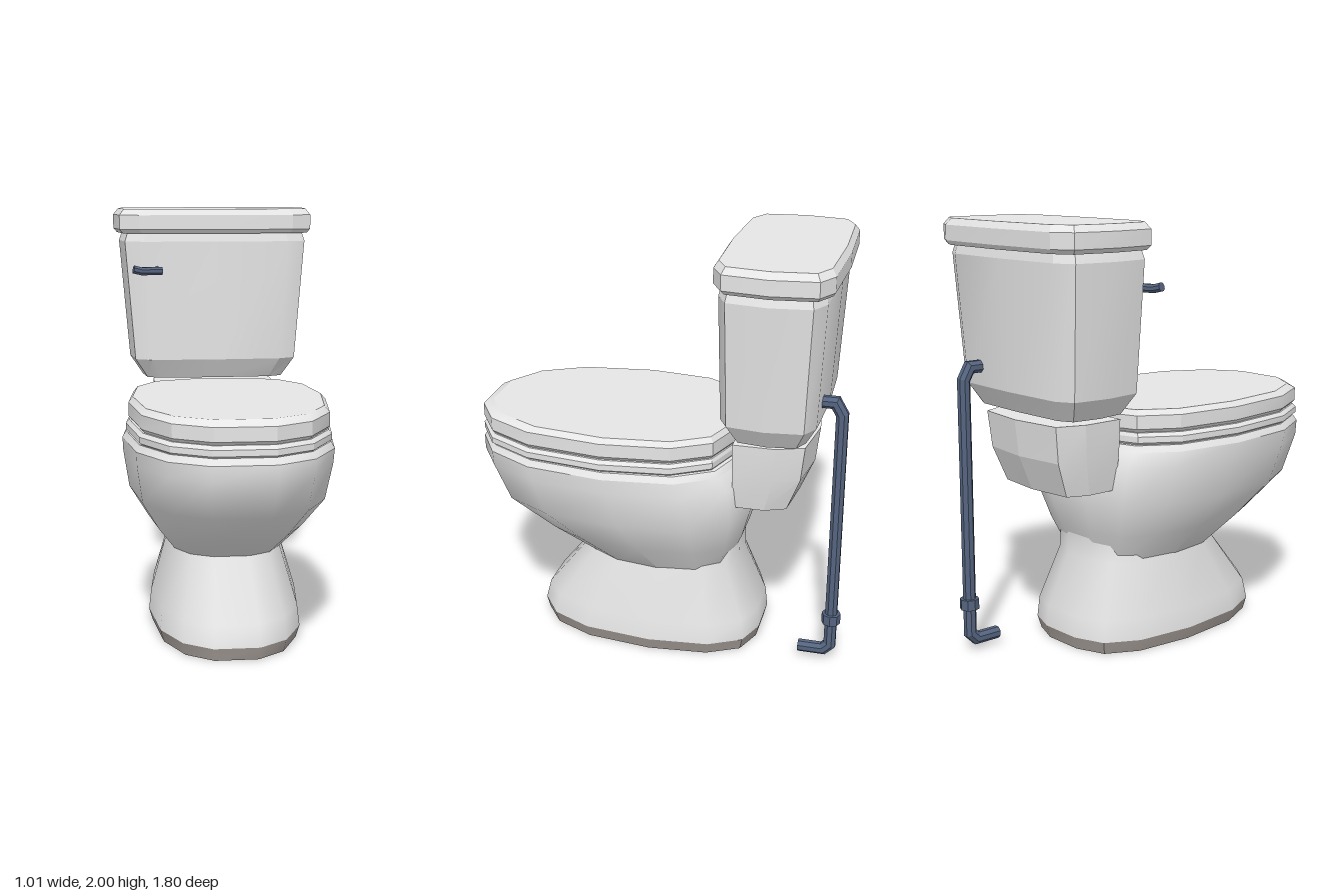
import * as THREE from 'three';
import { toCreasedNormals } from 'three/addons/utils/BufferGeometryUtils.js';

// Half outlines (x, z) from front to back, in a -1..1 box
const EGG = [[0.29, 1], [0.65, 0.83], [0.9, 0.48], [1, -0.1], [0.92, -0.62], [0.69, -0.9], [0.29, -1]];
const TANK = [[0, 1], [0.76, 0.95], [0.95, 0.76], [1, 0], [0.95, -0.76], [0.76, -0.95], [0, -1]];
const BRACKET = [[0.75, 1], [1, 1], [1, -0.1], [0.84, -0.82], [0, -1]];

const mirror = (half) => [...half, ...half.filter((p) => p[0] !== 0).reverse().map(([x, z]) => [-x, z])];

// Skin a stack of rings of Vector3; caps names the ends to close
function skin(rings, crease, caps) {
  const pos = [];
  const tri = (...pts) => pts.forEach((p) => pos.push(p.x, p.y, p.z));
  const n = rings[0].length;
  const centre = (ring) => ring.reduce((s, p) => s.add(p), new THREE.Vector3()).divideScalar(n);
  const first = rings[0], last = rings[rings.length - 1];
  const c0 = centre(first), c1 = centre(last);
  for (let j = 0; j < n; j++) {
    const k = (j + 1) % n;
    for (let i = 0; i < rings.length - 1; i++) {
      const a = rings[i], b = rings[i + 1];
      tri(a[j], a[k], b[k]);
      tri(a[j], b[k], b[j]);
    }
    if (caps.includes('start')) tri(c0, first[k], first[j]);
    if (caps.includes('end')) tri(c1, last[j], last[k]);
  }
  const g = new THREE.BufferGeometry();
  g.setAttribute('position', new THREE.Float32BufferAttribute(pos, 3));
  return toCreasedNormals(g, crease);
}

// Levels run upward: [y, half width, front z, back z]
function loft(half, levels, crease, caps = 'start end') {
  const outline = mirror(half);
  return skin(levels.map(([y, w, f, b]) =>
    outline.map(([x, z]) => new THREE.Vector3(x * w, y, (f + b) / 2 + z * (f - b) / 2))), crease, caps);
}

// Round bar with mitred corners; side is a direction across the path
function bar(points, radius, side) {
  const path = points.map((p) => new THREE.Vector3(...p));
  const ref = new THREE.Vector3(...side);
  const rings = path.map((p, i) => {
    const d0 = p.clone().sub(path[Math.max(i - 1, 0)]).normalize();
    const d1 = path[Math.min(i + 1, path.length - 1)].clone().sub(p).normalize();
    const t = d0.clone().add(d1).normalize();
    const v = t.clone().cross(ref).normalize();
    const u = v.clone().cross(t);
    const stretch = 1 / Math.max(t.dot(d1), t.dot(d0), 0.5);
    return Array.from({ length: 8 }, (_, k) => {
      const a = (k + 0.5) * Math.PI / 4;
      return p.clone().addScaledVector(u, Math.cos(a) * radius)
        .addScaledVector(v, Math.sin(a) * radius * stretch);
    });
  });
  return skin(rings, 0.3, 'start end');
}

export function createModel() {
  const group = new THREE.Group();
  const paint = (name, color) => {
    const m = new THREE.MeshStandardMaterial({ color });
    m.name = name;
    return m;
  };
  const porcelain = paint('porcelain', 0xe6e6e6);
  const baseGrey = paint('baseGrey', 0xa69e99);
  const metal = paint('blueMetal', 0x55647f);
  const add = (name, geometry, material) => {
    const m = new THREE.Mesh(geometry, material);
    m.name = name;
    group.add(m);
    return m;
  };

  // Foot with its darker base band
  add('baseBand', loft(EGG, [[0, 0.348, 0.61, -0.475], [0.06, 0.367, 0.625, -0.49]], 0.65, 'start'), baseGrey);
  add('pedestal', loft(EGG, [
    [0.06, 0.367, 0.625, -0.49], [0.16, 0.355, 0.6, -0.48],
    [0.41, 0.282, 0.402, -0.375], [0.52, 0.265, 0.38, -0.375],
  ], 1, 'end'), porcelain);

  // Bowl and its bevelled rim
  add('bowl', loft(EGG, [
    [0.405, 0.272, 0.365, -0.33], [0.55, 0.37, 0.6, -0.39], [0.71, 0.46, 0.82, -0.435],
    [0.89, 0.488, 0.9, -0.43], [0.96, 0.492, 0.9, -0.38],
  ], 1, 'start'), porcelain);
  add('bowlRim', loft(EGG, [[0.96, 0.492, 0.9, -0.38], [0.99, 0.475, 0.88, -0.365]], 0.65, 'end'), porcelain);

  // Seat ring and its cover
  add('seat', loft(EGG, [
    [0.99, 0.462, 0.885, -0.345], [1.0, 0.475, 0.9, -0.352],
    [1.028, 0.475, 0.9, -0.352], [1.045, 0.46, 0.885, -0.345],
  ], 0.4), porcelain);
  add('seatLid', loft(EGG, [
    [1.046, 0.45, 0.885, -0.34], [1.062, 0.463, 0.9, -0.352],
    [1.125, 0.463, 0.9, -0.352], [1.15, 0.442, 0.85, -0.335],
  ], 0.4), porcelain);

  // Bracket behind the bowl, open underneath
  add('bracket', loft(BRACKET, [
    [0.785, 0.265, -0.375, -0.645], [0.95, 0.295, -0.375, -0.715], [1.12, 0.305, -0.375, -0.735],
  ], 0.2, 'end'), porcelain);

  // Tank: bevelled foot, smooth body, bevelled shoulder
  add('tankFoot', loft(TANK, [[1.152, 0.36, -0.365, -0.715], [1.25, 0.425, -0.31, -0.77]], 0.4, 'start'), porcelain);
  add('tankBody', loft(TANK, [[1.25, 0.425, -0.31, -0.77], [1.84, 0.475, -0.3, -0.8]], 0.9, ''), porcelain);
  add('tankShoulder', loft(TANK, [[1.84, 0.475, -0.3, -0.8], [1.885, 0.46, -0.31, -0.79]], 0.4, 'end'), porcelain);
  add('tankLid', loft(TANK, [
    [1.88, 0.485, -0.295, -0.82], [1.9, 0.503, -0.28, -0.833],
    [1.97, 0.503, -0.28, -0.833], [2, 0.478, -0.3, -0.812],
  ], 0.35), porcelain);

  // Flush handle
  add('flushLever', bar([[-0.415, 1.71, -0.227], [-0.375, 1.7, -0.234], [-0.275, 1.7, -0.258]], 0.021, [0, 1, 0]), metal);
  const post = add('leverPost', new THREE.CylinderGeometry(0.01, 0.02, 0.06, 8), metal);
  post.rotation.x = Math.PI / 2;
  post.position.set(-0.295, 1.7, -0.28);

  // Water pipe with coupling
  add('waterPipe', bar([
    [0.215, 1.34, -0.765], [0.215, 1.34, -0.825], [0.215, 1.285, -0.857],
    [0.215, 0.085, -0.857], [0.215, 0.053, -0.825], [0.215, 0.053, -0.705],
  ], 0.03, [1, 0, 0]), metal);
  const coupling = add('pipeCoupling',
    toCreasedNormals(new THREE.CylinderGeometry(0.045, 0.045, 0.05, 8), 0.3), metal);
  coupling.position.set(0.215, 0.23, -0.857);

  return group;
}
